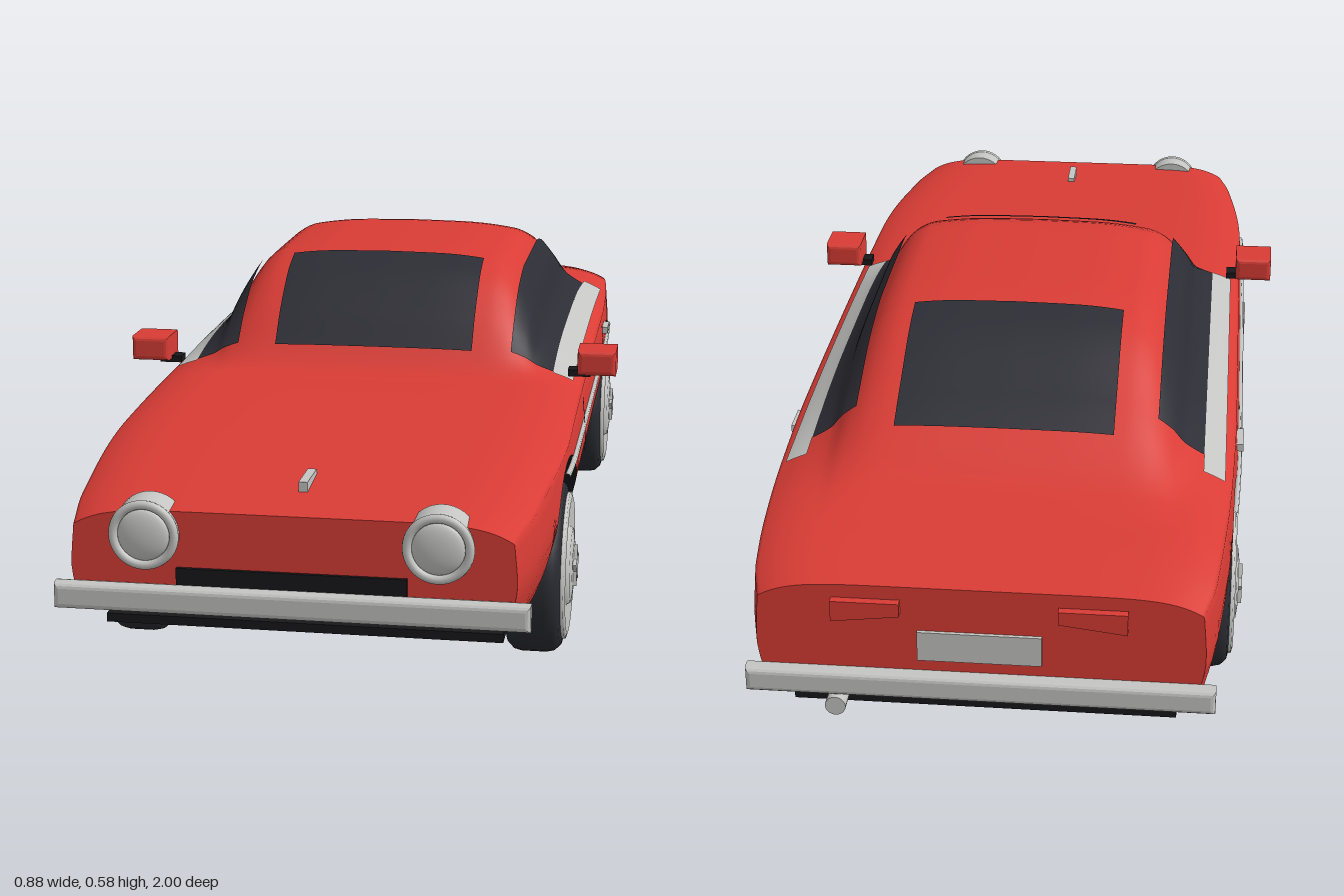
import * as THREE from 'three';

const mat = (name, color) => {
  const m = new THREE.MeshStandardMaterial({ color });
  m.name = name;
  return m;
};

// Smooth curve through [x, y] points without overshoot
function curve(p) {
  const n = p.length;
  const d = p.slice(1).map((q, i) => (q[1] - p[i][1]) / (q[0] - p[i][0]));
  const m = p.map((_, i) => i === 0 ? d[0] : i === n - 1 ? d[n - 2]
    : d[i - 1] * d[i] <= 0 ? 0 : 2 * d[i - 1] * d[i] / (d[i - 1] + d[i]));
  return (x) => {
    if (x <= p[0][0]) return p[0][1];
    if (x >= p[n - 1][0]) return p[n - 1][1];
    let i = 0;
    while (x > p[i + 1][0]) i++;
    const w = p[i + 1][0] - p[i][0], t = (x - p[i][0]) / w, t2 = t * t, t3 = t2 * t;
    return (2 * t3 - 3 * t2 + 1) * p[i][1] + (t3 - 2 * t2 + t) * w * m[i]
      + (3 * t2 - 2 * t3) * p[i + 1][1] + (t3 - t2) * w * m[i + 1];
  };
}

const range = (a, b, n) => Array.from({ length: n + 1 }, (_, i) => a + (b - a) * i / n);

// Body rules along z: half width, hood and deck height, roof line, underside
const END = 0.97, ARCH = 0.178, AXLE_Y = 0.15, AXLES = [0.555, -0.54];
const width = curve([[-0.97, 0.343], [-0.9, 0.36], [-0.6, 0.381], [-0.35, 0.386], [0.5, 0.386], [0.85, 0.36], [0.97, 0.338]]);
const deck = curve([[-0.97, 0.37], [-0.8, 0.391], [-0.3, 0.398], [0.27, 0.388], [0.6, 0.372], [0.97, 0.338]]);
const roof = curve([[-0.8, 0.391], [-0.72, 0.409], [-0.56, 0.488], [-0.4, 0.558], [-0.27, 0.579],
  [-0.03, 0.578], [0.075, 0.552], [0.166, 0.488], [0.25, 0.397], [0.27, 0.388]]);
const floorY = curve([[-0.97, 0.175], [-0.72, 0.155], [0.74, 0.155], [0.97, 0.178]]);
const cabin = curve([[0, 1], [0.26, 0.99], [0.52, 0.93], [0.6, 0.85], [0.7, 0.58], [0.76, 0.3], [0.84, 0.13], [0.95, 0]]);
const flank = curve([[0, 0.92], [0.25, 0.965], [0.6, 1], [1, 0.985]]);

function bottom(z) {
  let y = floorY(z);
  for (const c of AXLES) {
    const d = Math.abs(z - c);
    if (d < ARCH) y = Math.max(y, AXLE_Y + Math.sqrt(ARCH * ARCH - d * d));
  }
  return y;
}
const topY = (z, u) => deck(z) + (z > -0.8 && z < 0.27 ? (roof(z) - deck(z)) * cabin(u) : 0) - 0.03 * u ** 8;
const shoulder = (z) => topY(z, 0.985);
const sideX = (z, y) => width(z) * flank((y - 0.15) / (shoulder(z) - 0.15));

// Cross-section from the left sill over the roof to the right sill
function section(z) {
  const b = bottom(z), s = shoulder(z);
  const half = range(b, s, 8).map((y) => [sideX(z, y), y]);
  range(0.97, 0, 40).forEach((u) => half.push([u * width(z), topY(z, u)]));
  return half.concat(half.slice(0, -1).reverse().map(([x, y]) => [-x, y]));
}

// Surface through rows of [x, y, z] points
function surface(rows) {
  const n = rows[0].length, idx = [];
  for (let i = 0; i < rows.length - 1; i++) {
    for (let j = 0; j < n - 1; j++) {
      const a = i * n + j, c = a + n;
      idx.push(a, a + 1, c, a + 1, c + 1, c);
    }
  }
  const g = new THREE.BufferGeometry();
  g.setAttribute('position', new THREE.Float32BufferAttribute(rows.flat(2), 3));
  g.setIndex(idx);
  g.computeVertexNormals();
  return g;
}

export function createModel() {
  const red = mat('red paint', 0xd93c35), glass = mat('dark glass', 0x2d2d35);
  const rubber = mat('tyre rubber', 0x2a2b32), black = mat('black trim', 0x18181b);
  const chrome = mat('chrome', 0xc4c4c2);
  const car = new THREE.Group();
  car.name = 'car';

  const add = (name, geo, m, x = 0, y = 0, z = 0, parent = car) => {
    const mesh = new THREE.Mesh(geo, m);
    mesh.name = name;
    mesh.position.set(x, y, z);
    parent.add(mesh);
    return mesh;
  };
  const box = (name, m, w, h, d, x, y, z) => add(name, new THREE.BoxGeometry(w, h, d), m, x, y, z);

  // Body shell, with stations following the wheel arches
  const stations = range(-END, END, 80).filter((z) => AXLES.every((c) => Math.abs(z - c) > ARCH));
  AXLES.forEach((c) => range(0, Math.PI, 28).forEach((a) => stations.push(c + ARCH * Math.cos(a))));
  stations.sort((a, b) => a - b);
  add('bodyShell', surface(stations.map((z) => section(z).map(([x, y]) => [x, y, z]))), red);
  add('underbody', surface(stations.map((z) => {
    const y = bottom(z), x = sideX(z, y);
    return [[-x, y, z], [0, y, z], [x, y, z]];
  })), black);
  for (const s of [1, -1]) {
    const shape = new THREE.Shape(section(s * END).map(([x, y]) => new THREE.Vector2(x, y)));
    const cap = add(s > 0 ? 'nosePanel' : 'tailPanel', new THREE.ShapeGeometry(shape), red, 0, 0, s * END);
    if (s < 0) cap.rotation.y = Math.PI;
  }

  // Panels laid on the upper surface, between two x positions
  const topPanel = (name, m, z0, z1, x0, x1, lift) => add(name, surface(range(z0, z1, 48).map((z) =>
    range(x1, x0, 24).map((x) => [x + Math.sign(x0 + x1) * lift, topY(z, Math.abs(x) / width(z)) + lift, z]))), m);
  topPanel('windscreen', glass, 0.035, 0.222, -0.18, 0.18, 0.006);
  topPanel('rearWindow', glass, -0.62, -0.36, -0.18, 0.18, 0.006);

  // Panels laid on the flanks, between two heights
  const sidePanel = (name, m, s, z0, z1, y0, y1) => add(name, surface(range(z0, z1, 12).map((z) =>
    (s > 0 ? range(y0, y1, 8) : range(y1, y0, 8)).map((y) => [s * (sideX(z, y) + 0.004), y, z]))), m);

  for (const s of [1, -1]) {
    const span = (a, b) => s > 0 ? [a, b] : [-b, -a];
    topPanel('sideWindow', glass, -0.57, 0.215, ...span(0.245, 0.322), 0.005);
    topPanel('windowTrim', chrome, -0.62, 0.22, ...span(0.322, 0.358), 0.005);
    sidePanel('rockerPanel', black, s, -0.09, 0.376, 0.16, 0.215);
    sidePanel('frontDoorSeam', black, s, 0.257, 0.27, 0.2, 0.36);
    sidePanel('rearDoorSeam', black, s, -0.308, -0.296, 0.22, 0.37);
    const path = new THREE.CatmullRomCurve3(range(-0.6, 0.6, 12).map((z) =>
      new THREE.Vector3(s * (sideX(z, 0.31) + 0.002), 0.31, z)));
    add('sideMoulding', new THREE.TubeGeometry(path, 40, 0.005, 8), chrome);
    box('doorHandle', chrome, 0.014, 0.013, 0.06, s * 0.386, 0.345, -0.4);

    // Mirrors
    add('mirror', roundedBox(0.068, 0.044, 0.08), red, s * 0.406, 0.418, 0.215);
    box('mirrorStem', black, 0.04, 0.012, 0.03, s * 0.374, 0.395, 0.215);

    // Headlights
    const rim = add('headlightRim', new THREE.CylinderGeometry(0.052, 0.054, 0.05, 40), chrome, s * 0.222, 0.302, 0.955);
    rim.rotation.x = Math.PI / 2;
    add('headlightRing', new THREE.TorusGeometry(0.047, 0.007, 12, 40), chrome, s * 0.222, 0.302, 0.98);
    const lens = add('headlightLens', new THREE.SphereGeometry(0.04, 32, 12, 0, Math.PI * 2, 0, Math.PI / 2), chrome, s * 0.222, 0.302, 0.979);
    lens.rotation.x = Math.PI / 2;
    lens.scale.y = 0.3;

    // Tail lights, narrower towards the middle
    const lamp = new THREE.Shape([[0.12, 0.325], [0.225, 0.312], [0.225, 0.347], [0.12, 0.347]]
      .map(([x, y]) => new THREE.Vector2(s * x, y)));
    add('tailLight', new THREE.ExtrudeGeometry(lamp, { depth: 0.016, bevelEnabled: false }), red, 0, 0, -0.983);
  }

  // Front and rear trim
  const bar = roundedBox(0.72, 0.04, 0.03);
  add('frontBumper', bar, chrome, 0, 0.205, 0.984);
  add('rearBumper', bar, chrome, 0, 0.205, -0.98);
  box('grille', black, 0.35, 0.028, 0.01, 0, 0.237, 0.971);
  box('hoodOrnament', chrome, 0.014, 0.016, 0.075, 0, 0.355, 0.835);
  box('rearPlate', chrome, 0.19, 0.05, 0.008, 0, 0.27, -0.972);
  box('frontSplitter', black, 0.62, 0.014, 0.1, 0, 0.135, 0.84);
  box('rearValance', black, 0.6, 0.022, 0.11, 0, 0.137, -0.865);
  box('sill', black, 0.71, 0.022, 0.74, 0, 0.15, 0.007);
  const pipe = add('exhaustPipe', new THREE.CylinderGeometry(0.016, 0.016, 0.1, 20), chrome, 0.22, 0.17, -0.95);
  pipe.rotation.x = Math.PI / 2;

  // Wheels
  const tyre = new THREE.LatheGeometry([[0, -0.047], [0.115, -0.047], [0.132, -0.043], [0.142, -0.033], [0.145, -0.02],
    [0.145, 0.02], [0.142, 0.033], [0.132, 0.043], [0.115, 0.047], [0, 0.047]].map(([r, y]) => new THREE.Vector2(r, y)), 48);
  const rimDisc = new THREE.LatheGeometry([[0.122, 0.04], [0.122, 0.05], [0.112, 0.053], [0.07, 0.049], [0.066, 0.049],
    [0.062, 0.056], [0.04, 0.059], [0, 0.059]].map(([r, y]) => new THREE.Vector2(r, y)), 48);
  for (const g of [tyre, rimDisc]) g.rotateZ(-Math.PI / 2);
  const star = new THREE.Shape(range(0, 9, 9).map((i) => {
    const r = i % 2 ? 0.017 : 0.036, a = i * Math.PI / 5 + Math.PI / 2;
    return new THREE.Vector2(r * Math.cos(a), r * Math.sin(a));
  }));
  const hub = new THREE.ExtrudeGeometry(star, { depth: 0.008, bevelEnabled: false }).rotateY(Math.PI / 2);
  for (const z of AXLES) {
    for (const s of [1, -1]) {
      const wheel = new THREE.Group();
      wheel.name = 'wheel';
      wheel.position.set(s * 0.334, 0.145, z);
      if (s < 0) wheel.rotation.y = Math.PI;
      add('tyre', tyre, rubber, 0, 0, 0, wheel);
      add('wheelDisc', rimDisc, chrome, 0, 0, 0, wheel);
      add('hubStar', hub, chrome, 0.057, 0, 0, wheel);
      car.add(wheel);
    }
  }
  return car;
}

// Box with bevelled edges
function roundedBox(w, h, d, r = 0.008) {
  const x = w / 2 - r, y = h / 2 - r;
  const shape = new THREE.Shape([[-x, -y], [x, -y], [x, y], [-x, y]].map(([a, b]) => new THREE.Vector2(a, b)));
  return new THREE.ExtrudeGeometry(shape, { depth: d - 2 * r, bevelThickness: r, bevelSize: r, bevelSegments: 3 })
    .translate(0, 0, r - d / 2);
}
